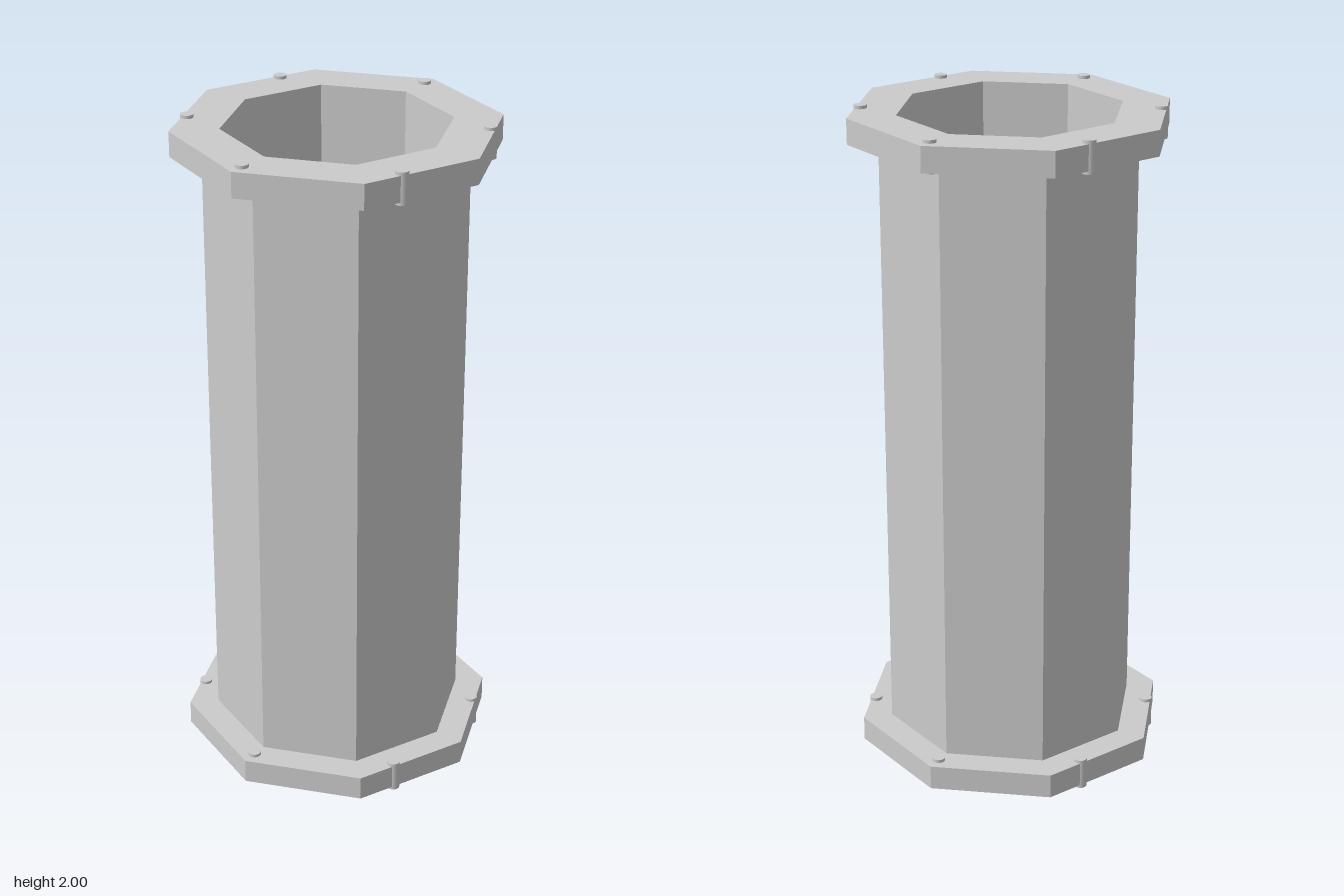
import * as THREE from 'three';

const INNER = 0.331, PIPE = 0.383, FLANGE = 0.472;
const BOLT_CIRCLE = 0.426, BOLT_RADIUS = 0.019;
const FLANGE_HEIGHT = 0.075, BOLT_HEIGHT = 0.094;

const faceted = new THREE.MeshStandardMaterial({ color: 0xcccccc, flatShading: true });
const smooth = new THREE.MeshStandardMaterial({ color: 0xcccccc });

// Eight-sided hollow ring with a rectangular section, corners on the axes
function octagonRing(outer, inner, y0, y1) {
  const profile = [[outer, y0], [outer, y1], [inner, y1], [inner, y0], [outer, y0]];
  const geometry = new THREE.LatheGeometry(profile.map(([r, y]) => new THREE.Vector2(r, y)), 8);
  return new THREE.Mesh(geometry, faceted);
}

// Flange ring with six bolts passing through it
function createFlange(name, centreY) {
  const flange = new THREE.Group();
  flange.name = name;
  flange.position.y = centreY;

  const ring = octagonRing(FLANGE, INNER, -FLANGE_HEIGHT / 2, FLANGE_HEIGHT / 2);
  ring.name = 'flangeRing';
  flange.add(ring);

  const boltGeometry = new THREE.CylinderGeometry(BOLT_RADIUS, BOLT_RADIUS, BOLT_HEIGHT, 20);
  for (let i = 0; i < 6; i++) {
    const angle = (i * Math.PI) / 3;
    const bolt = new THREE.Mesh(boltGeometry, smooth);
    bolt.name = 'bolt';
    bolt.position.set(Math.cos(angle) * BOLT_CIRCLE, 0, Math.sin(angle) * BOLT_CIRCLE);
    flange.add(bolt);
  }
  return flange;
}

export function createModel() {
  const model = new THREE.Group();
  model.name = 'flangedPipe';

  const low = BOLT_HEIGHT / 2, high = 2 - BOLT_HEIGHT / 2;

  // Pipe wall between the flanges
  const pipe = octagonRing(PIPE, INNER, low + FLANGE_HEIGHT / 2, high - FLANGE_HEIGHT / 2);
  pipe.name = 'pipe';

  model.add(pipe, createFlange('bottomFlange', low), createFlange('topFlange', high));
  return model;
}
